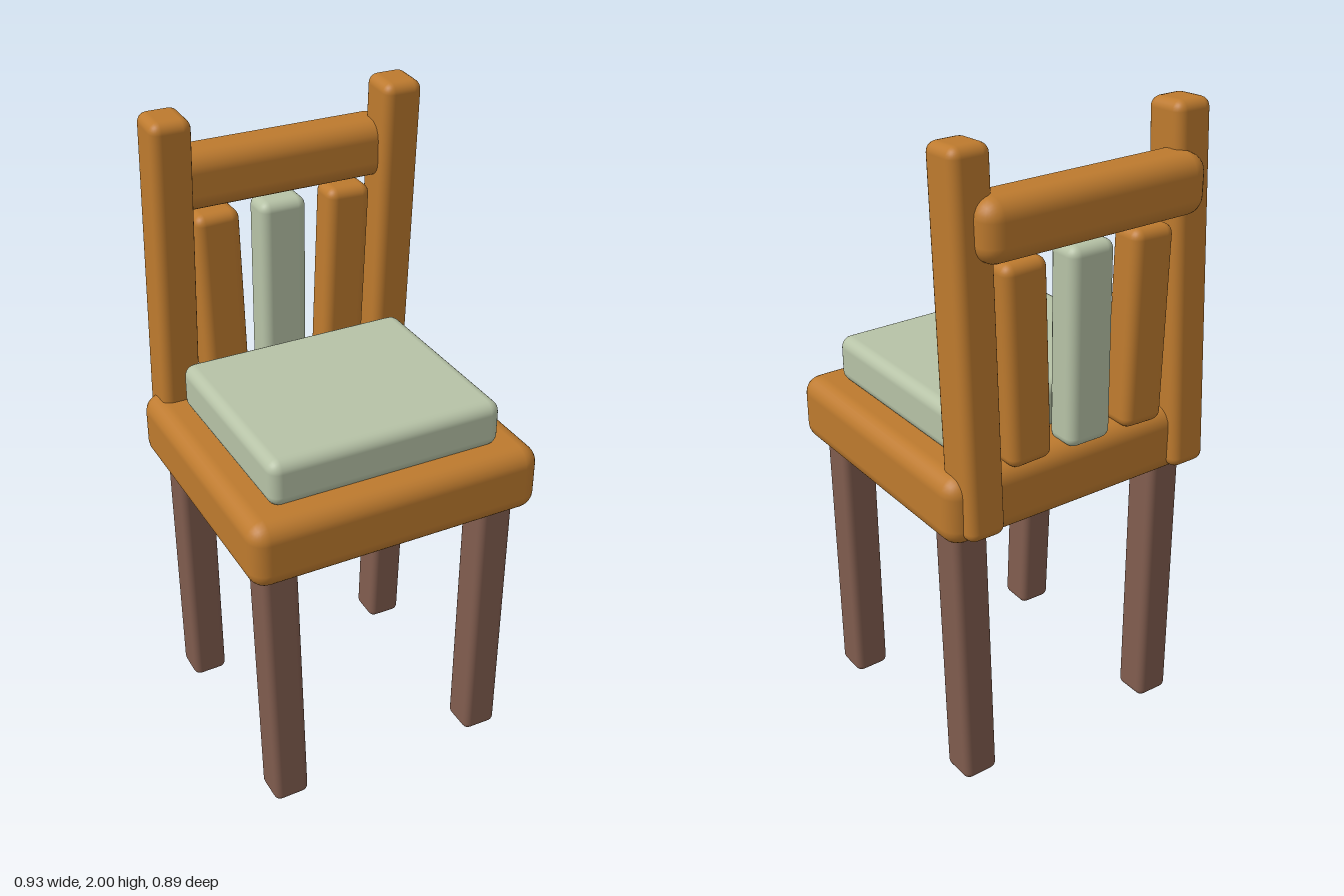
import * as THREE from 'three';
import { RoundedBoxGeometry } from 'three/addons/geometries/RoundedBoxGeometry.js';

export function createModel() {
  const chair = new THREE.Group();
  chair.name = 'chair';

  const mat = (name, color) => {
    const m = new THREE.MeshStandardMaterial({ color });
    m.name = name;
    return m;
  };
  const wood = mat('warm wood', 0xbd7a2e);
  const darkWood = mat('dark leg wood', 0x805c4e);
  const fabric = mat('sage green', 0xb6c2a6);

  // Soft-edged block: size, centre, edge radius, tilt about x and z
  const block = (name, material, [w, h, d], [x, y, z], radius, tiltX = 0, tiltZ = 0) => {
    const mesh = new THREE.Mesh(new RoundedBoxGeometry(w, h, d, 3, radius), material);
    mesh.name = name;
    mesh.position.set(x, y, z);
    mesh.rotation.set(tiltX, 0, tiltZ);
    chair.add(mesh);
    return mesh;
  };

  // Seat and cushion
  block('seat', wood, [0.934, 0.212, 0.852], [0, 0.984, 0.021], 0.055);
  block('cushion', fabric, [0.742, 0.148, 0.642], [0, 1.156, 0.041], 0.036);

  for (const [side, s] of [['left', 1], ['right', -1]]) {
    // Legs lean slightly in at the foot sideways, and out front to back
    block(`${side}FrontLeg`, darkWood, [0.114, 1.0, 0.114], [s * 0.353, 0.502, 0.34], 0.022, -0.018, -s * 0.018);
    block(`${side}BackLeg`, darkWood, [0.114, 1.0, 0.114], [s * 0.353, 0.502, -0.295], 0.022, 0.022, -s * 0.018);
    // Back posts lean forward at the top
    block(`${side}Post`, wood, [0.124, 1.1, 0.136], [s * 0.365, 1.449, -0.339], 0.03, 0.06);
    // Outer slats fan outwards
    block(`${side}Slat`, wood, [0.142, 0.6, 0.11], [s * 0.208, 1.377, -0.356], 0.03, 0.015, -s * 0.033);
  }

  // Middle slat and top rail
  block('middleSlat', fabric, [0.15, 0.6, 0.11], [-0.004, 1.377, -0.356], 0.03, 0.015);
  block('topRail', wood, [0.742, 0.178, 0.158], [0, 1.781, -0.367], 0.055);

  return chair;
}
